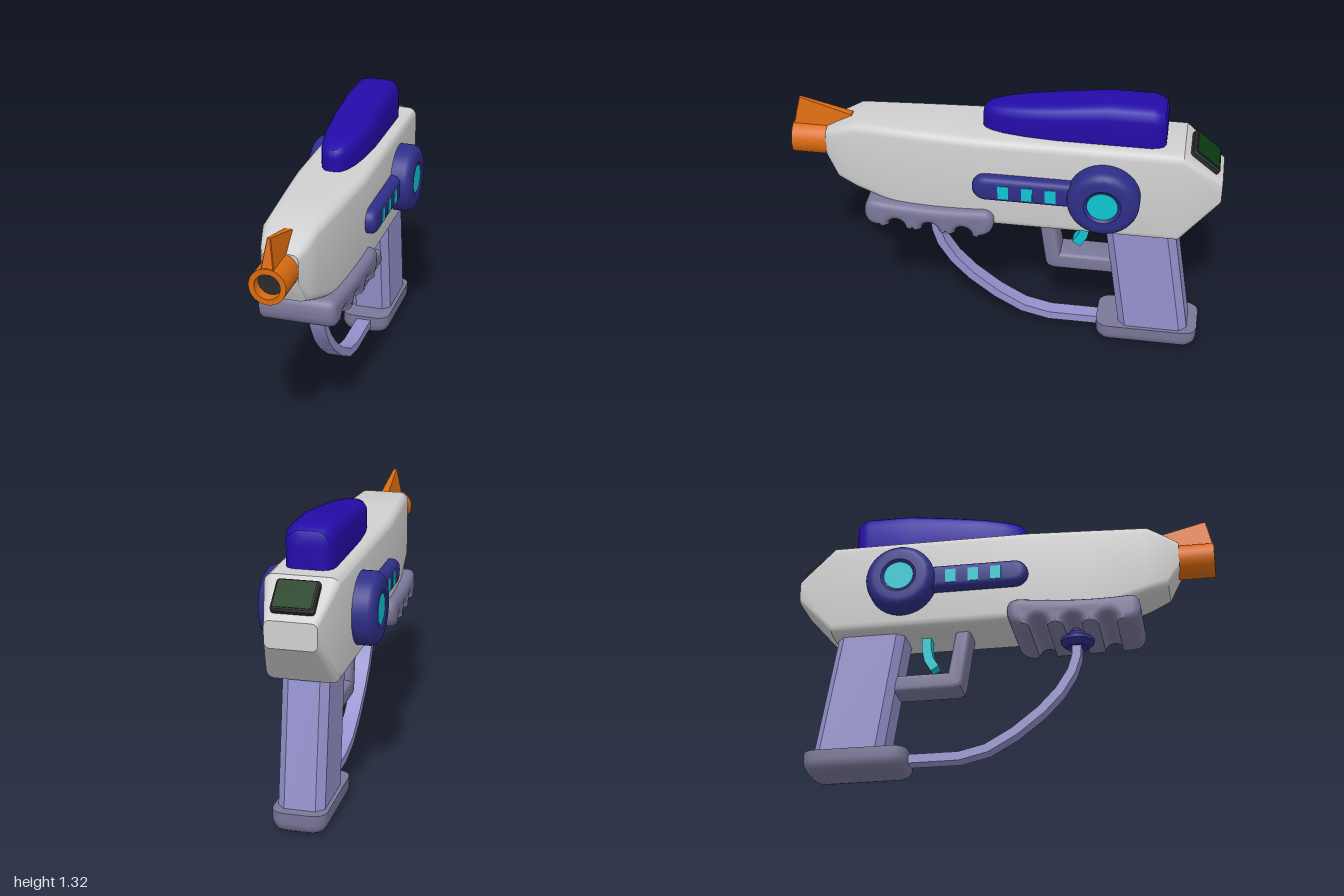
import * as THREE from 'three';
import { toCreasedNormals } from 'three/addons/utils/BufferGeometryUtils.js';

const colour = (name, hex) => {
  const m = new THREE.MeshStandardMaterial({ color: hex });
  m.name = name;
  return m;
};

// Joins rounded rectangles [d, halfWidth, low, high, radius], given in rising d, along +z.
function loft(sections, n = 4) {
  const pos = [], index = [], count = 4 * (n + 1);
  for (const [d, w, lo, hi, r] of sections) {
    const corners = [[w - r, hi - r], [r - w, hi - r], [r - w, lo + r], [w - r, lo + r]];
    corners.forEach(([cx, cy], q) => {
      for (let i = 0; i <= n; i++) {
        const a = (q + i / n) * Math.PI / 2;
        pos.push(cx + r * Math.cos(a), cy + r * Math.sin(a), d);
      }
    });
  }
  for (let s = 0; s < sections.length - 1; s++) {
    for (let j = 0; j < count; j++) {
      const k = (j + 1) % count, a = s * count + j, b = s * count + k;
      index.push(a, b, b + count, a, b + count, a + count);
    }
  }
  const last = (sections.length - 1) * count;
  for (let j = 1; j < count - 1; j++) {
    index.push(0, j + 1, j, last, last + j, last + j + 1);
  }
  const g = new THREE.BufferGeometry();
  g.setAttribute('position', new THREE.Float32BufferAttribute(pos, 3));
  g.setIndex(index);
  return toCreasedNormals(g, 0.6);
}

// The same, stacked upward: low and high then run along -z.
const loftUp = (sections, n) => loft(sections, n).rotateX(-Math.PI / 2);

// Extrudes a (z, y) outline across x, centred, with rounded edges kept inside the outline.
function across(shape, halfWidth, bevel = 0) {
  const g = new THREE.ExtrudeGeometry(shape, {
    depth: 2 * (halfWidth - bevel), bevelEnabled: bevel > 0, bevelSize: bevel,
    bevelThickness: bevel, bevelOffset: -bevel, bevelSegments: 4, curveSegments: 12,
  });
  g.translate(0, 0, bevel - halfWidth).rotateY(-Math.PI / 2);
  return toCreasedNormals(g, 0.6);
}

const outline = (pts) => new THREE.Shape(pts.map(([z, y]) => new THREE.Vector2(z, y)));

// Flat band of constant thickness along (z, y) points.
function band(pts, thickness, halfWidth) {
  const left = [], right = [];
  pts.forEach(([z, y], i) => {
    const a = pts[Math.max(i - 1, 0)], b = pts[Math.min(i + 1, pts.length - 1)];
    const dz = b[0] - a[0], dy = b[1] - a[1], k = thickness / 2 / Math.hypot(dz, dy);
    left.push([z - dy * k, y + dz * k]);
    right.unshift([z + dy * k, y - dz * k]);
  });
  return across(outline([...left, ...right]), halfWidth);
}

const lathe = (pts, segments) => toCreasedNormals(
  new THREE.LatheGeometry(pts.map(([r, y]) => new THREE.Vector2(r, y)), segments), 0.6);

export function createModel() {
  const group = new THREE.Group();
  const shell = colour('shell white', 0xd0d0d0);
  const violet = colour('tank violet', 0x240ba8);
  const navy = colour('navy', 0x2e2e88);
  const lavender = colour('lavender', 0x9492cc);
  const slate = colour('slate', 0x7a7799);
  const cyan = colour('cyan', 0x10c4d0);
  const orange = colour('orange', 0xd96a10);
  const dark = colour('dark', 0x2a2a2a);
  const green = colour('screen green', 0x0d3a12);
  const add = (name, geometry, material) => {
    const mesh = new THREE.Mesh(geometry, material);
    mesh.name = name;
    group.add(mesh);
    return mesh;
  };

  // Main shell
  add('body', loft([
    [-1, 0.115, 0.87, 0.99, 0.025], [-0.82, 0.165, 0.67, 1.135, 0.04],
    [0.12, 0.167, 0.67, 1.135, 0.04], [0.4, 0.148, 0.68, 1.135, 0.04],
    [0.69, 0.126, 0.785, 1.135, 0.04], [0.78, 0.105, 0.82, 1.092, 0.04],
    [0.835, 0.08, 0.92, 1.062, 0.03],
  ]), shell);

  // Tank on top
  add('tank', loft([
    [-0.735, 0.065, 1.08, 1.275, 0.04], [-0.725, 0.088, 1.08, 1.3, 0.05],
    [-0.7, 0.104, 1.08, 1.316, 0.06], [-0.67, 0.11, 1.08, 1.322, 0.06],
    [-0.47, 0.11, 1.08, 1.322, 0.06], [-0.25, 0.108, 1.08, 1.293, 0.055],
    [-0.1, 0.097, 1.08, 1.274, 0.05], [0, 0.08, 1.08, 1.261, 0.05],
    [0.06, 0.06, 1.08, 1.25, 0.045], [0.09, 0.04, 1.08, 1.235, 0.035],
    [0.1, 0.022, 1.08, 1.215, 0.02],
  ]), violet);

  // Muzzle with bore and sight fin
  add('muzzle', lathe([[0.082, 0.75], [0.082, 1], [0.057, 1], [0.057, 0.93]], 32)
    .rotateX(Math.PI / 2), orange).position.y = 0.985;
  add('bore', new THREE.CircleGeometry(0.058, 32), dark).position.set(0, 0.985, 0.95);
  add('sightFin', loftUp([
    [1.04, 0.031, -1, -0.7, 0.003], [1.125, 0.018, -0.983, -0.72, 0.003],
    [1.19, 0.008, -0.968, -0.955, 0.003],
  ], 1), orange);

  // Side discs and strips, running through the body
  const rim = [[0, 0.255], [0.072, 0.255], [0.085, 0.265], [0.12, 0.265]];
  for (let i = 1; i <= 6; i++) {
    const a = i / 6 * Math.PI / 2;
    rim.push([0.12 + 0.045 * Math.sin(a), 0.22 + 0.045 * Math.cos(a)]);
  }
  const wheel = [...rim.map(([r, x]) => [r, -x]), ...[...rim].reverse()];
  add('sideDiscs', lathe(wheel, 40).rotateZ(-Math.PI / 2), navy).position.set(0, 0.9, -0.475);
  const strip = new THREE.Shape();
  strip.absarc(0.067, 0.903, 0.063, -Math.PI / 2, Math.PI / 2);
  strip.lineTo(-0.47, 0.966);
  strip.lineTo(-0.47, 0.84);
  add('sideStrips', across(strip, 0.215, 0.03), navy);
  for (const s of [1, -1]) {
    add('discLight', new THREE.CylinderGeometry(0.07, 0.07, 0.008, 32)
      .rotateZ(Math.PI / 2), cyan).position.set(s * 0.256, 0.9, -0.475);
    for (let i = 0; i < 3; i++) {
      add('stripLight', new THREE.BoxGeometry(0.008, 0.068, 0.05), cyan)
        .position.set(s * 0.214, 0.9, -0.018 - i * 0.108);
    }
  }

  // Rear screen on the sloping back face
  const screen = new THREE.Group();
  screen.name = 'rearScreen';
  const frame = new THREE.Mesh(loftUp([
    [-0.02, 0.095, -0.08, 0.08, 0.015], [0.015, 0.095, -0.08, 0.08, 0.015],
    [0.023, 0.087, -0.072, 0.072, 0.012],
  ]), dark);
  frame.name = 'screenFrame';
  const pane = new THREE.Mesh(new THREE.BoxGeometry(0.16, 0.006, 0.13), green);
  pane.name = 'screenPane';
  pane.position.y = 0.023;
  screen.add(frame, pane);
  screen.position.set(0, 1.066, -0.911);
  screen.rotation.x = -Math.atan2(0.145, 0.18);
  group.add(screen);

  // Fore grip with finger grooves, narrowing to the front
  const fore = new THREE.Shape();
  fore.moveTo(0.6, 0.62);
  fore.quadraticCurveTo(0.65, 0.63, 0.65, 0.69);
  fore.quadraticCurveTo(0.65, 0.757, 0.6, 0.757);
  fore.quadraticCurveTo(0.35, 0.735, 0.09, 0.765);
  fore.quadraticCurveTo(0.03, 0.765, 0.03, 0.71);
  fore.quadraticCurveTo(0.03, 0.635, 0.1, 0.622);
  for (const z of [0.176, 0.336, 0.497]) fore.absarc(z, 0.62, 0.042, Math.PI, 0, true);
  const foreGeo = across(fore, 0.207, 0.035), p = foreGeo.attributes.position;
  for (let i = 0; i < p.count; i++) {
    p.setX(i, p.getX(i) * (1 - 0.25 * Math.max(0, p.getZ(i) - 0.1)));
  }
  add('foreGrip', foreGeo, slate);

  // Knob and hand strap
  add('strapKnob', lathe([[0, 0.577], [0.05, 0.577], [0.08, 0.602], [0.08, 0.62],
    [0.045, 0.65], [0.045, 0.69]], 12), navy).position.z = 0.337;
  add('strap', band([[0.337, 0.6], [0.335, 0.53], [0.31, 0.45], [0.25, 0.355], [0.165, 0.265],
    [0.04, 0.167], [-0.09, 0.093], [-0.22, 0.062], [-0.5, 0.062]], 0.042, 0.037), lavender);

  // Handle and its foot
  add('handle', loftUp([[0.08, 0.105, 0.567, 0.9, 0.035], [0.7, 0.105, 0.475, 0.8, 0.035]], 1),
    lavender);
  const foot = [0, 0.25, 0.5, 0.75, 1].map((t) => {
    const a = t * Math.PI / 2, inset = 0.05 * (1 - Math.sin(a));
    return [0.055 * (1 - Math.cos(a)), 0.123 - inset, 0.455 + inset, 0.945 - inset, 0.06 - inset / 2];
  });
  add('handleFoot', loftUp([...foot, [0.1, 0.123, 0.455, 0.945, 0.06]]), slate);

  // Trigger and guard
  add('triggerGuard', across(outline([
    [-0.16, 0.7], [-0.2, 0.42], [-0.21, 0.397], [-0.24, 0.385], [-0.55, 0.385],
    [-0.55, 0.47], [-0.27, 0.47], [-0.232, 0.7],
  ]), 0.073, 0.02), slate);
  add('trigger', band([[-0.384, 0.7], [-0.384, 0.62], [-0.372, 0.56], [-0.342, 0.512]],
    0.045, 0.03), cyan);

  return group;
}
